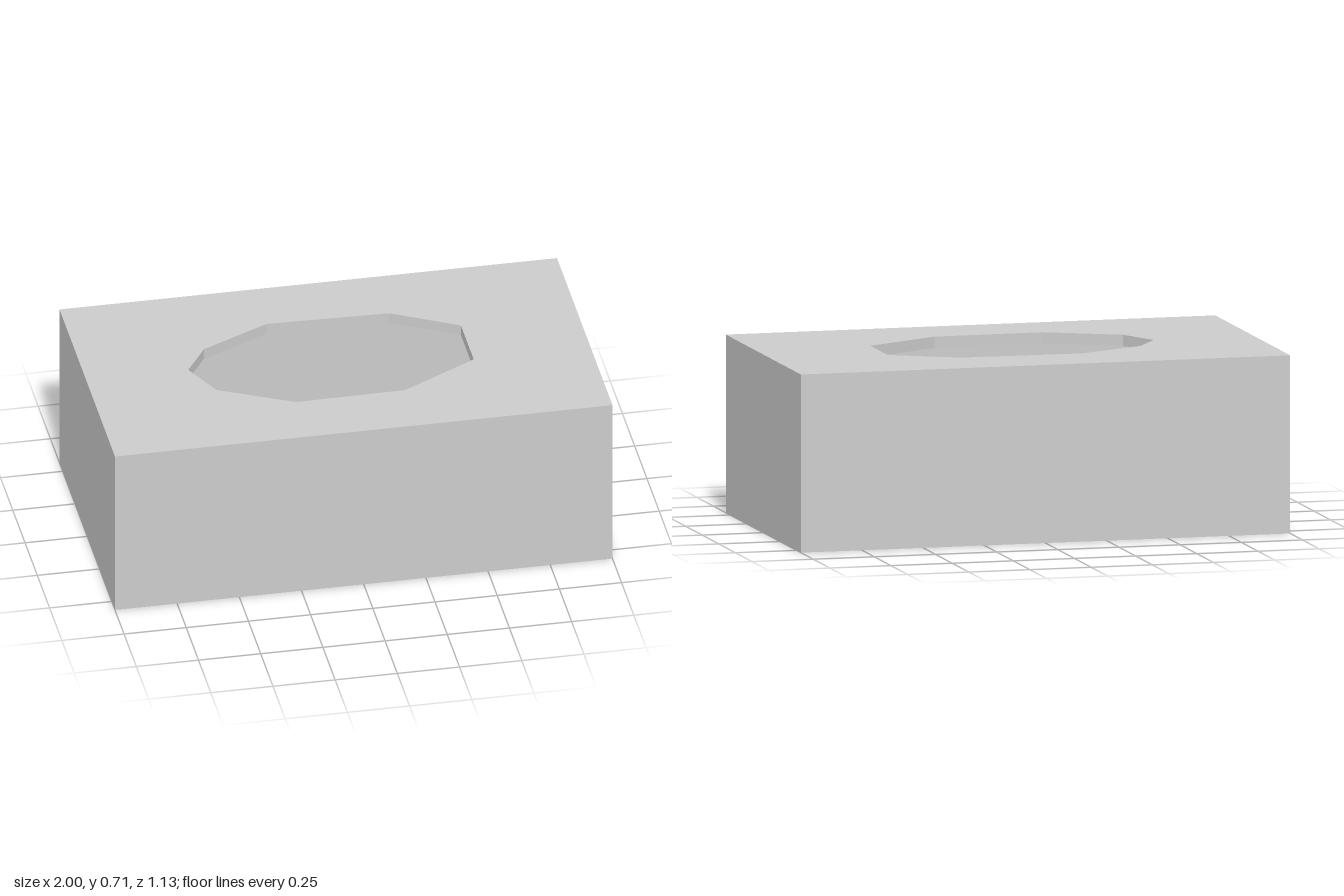
import * as THREE from 'three';

// Overall size and shell thicknesses
const W = 2, D = 1.13, H = 0.71;
const PANEL = 0.045, SIDE = 0.045, END = 0.11;

// Faceted openings as [x, z] points
const TOP_HOLE = [[-0.59, -0.02], [-0.5, -0.16], [-0.22, -0.3], [0.27, -0.285], [0.53, -0.14],
  [0.53, 0.12], [0.22, 0.295], [-0.22, 0.3], [-0.51, 0.15]];
const BOTTOM_HOLE = [[-0.56, -0.08], [-0.45, -0.19], [-0.2, -0.3], [0.22, -0.285], [0.53, -0.13],
  [0.53, 0.11], [0.33, 0.23], [0, 0.295], [-0.17, 0.295], [-0.38, 0.22], [-0.52, 0.13]];

const toPath = (points, Type) => new Type(points.map(([x, z]) => new THREE.Vector2(x, -z)));

// Horizontal slab with an opening; y is its underside
function panel(name, hole, y, material) {
  const shape = toPath([[-W / 2, D / 2], [W / 2, D / 2], [W / 2, -D / 2], [-W / 2, -D / 2]], THREE.Shape);
  shape.holes.push(toPath(hole, THREE.Path));
  const geometry = new THREE.ExtrudeGeometry(shape, { depth: PANEL, bevelEnabled: false });
  geometry.rotateX(-Math.PI / 2).translate(0, y, 0);
  const mesh = new THREE.Mesh(geometry, material);
  mesh.name = name;
  return mesh;
}

export function createModel() {
  const group = new THREE.Group();
  group.name = 'hollowBox';
  const material = new THREE.MeshStandardMaterial({ color: 0xcccccc, flatShading: true });

  // Top and bottom panels
  group.add(panel('topPanel', TOP_HOLE, H - PANEL, material));
  group.add(panel('bottomPanel', BOTTOM_HOLE, 0, material));

  // Ring of walls around the cavity
  const ring = toPath([[-W / 2, D / 2], [W / 2, D / 2], [W / 2, -D / 2], [-W / 2, -D / 2]], THREE.Shape);
  const x = W / 2 - END, z = D / 2 - SIDE;
  ring.holes.push(toPath([[-x, -z], [x, -z], [x, z], [-x, z]], THREE.Path));
  const geometry = new THREE.ExtrudeGeometry(ring, { depth: H - 2 * PANEL, bevelEnabled: false });
  geometry.rotateX(-Math.PI / 2).translate(0, PANEL, 0);
  const walls = new THREE.Mesh(geometry, material);
  walls.name = 'walls';
  group.add(walls);

  return group;
}
